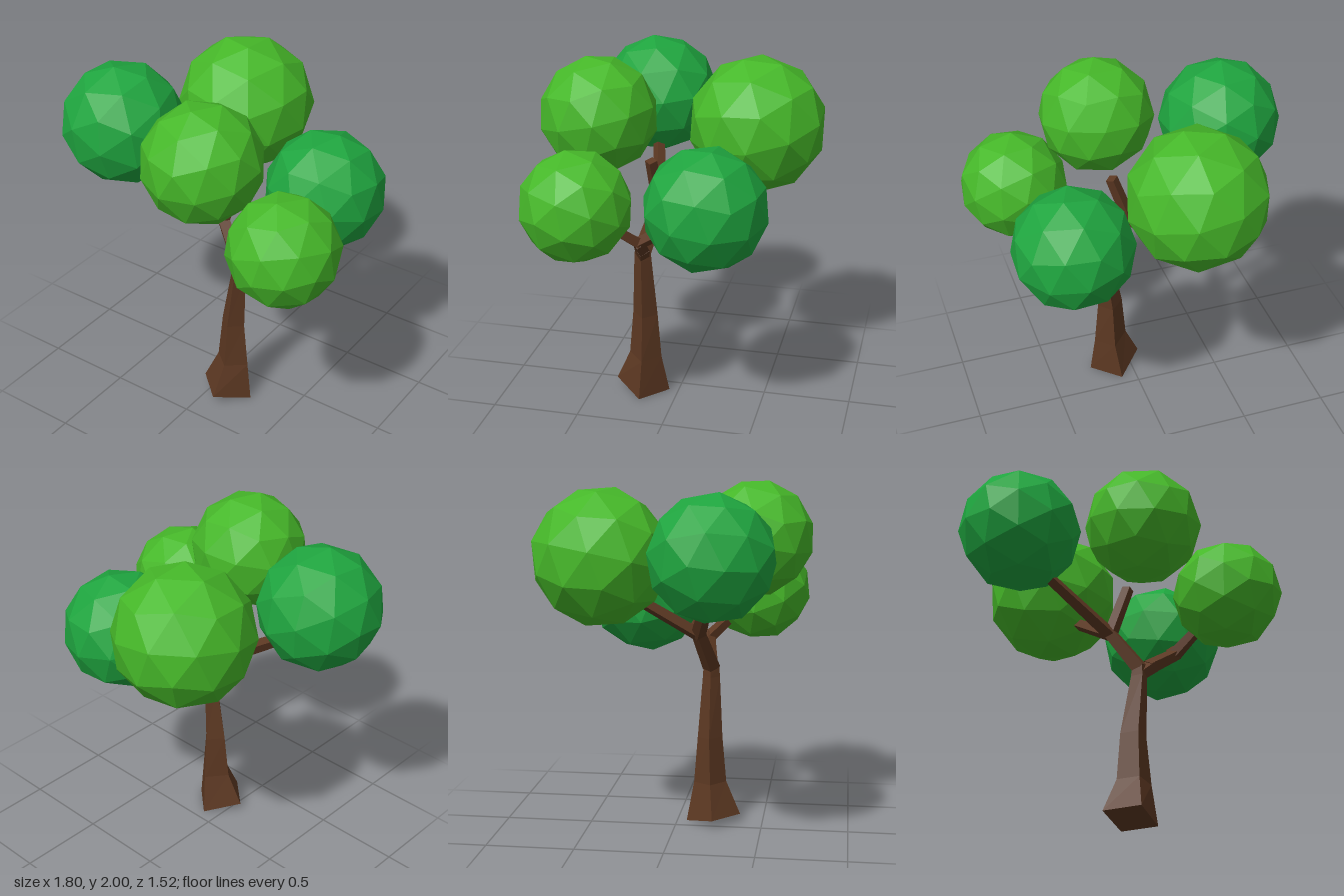
import * as THREE from 'three';

const mat = (color) => new THREE.MeshStandardMaterial({ color, flatShading: true });

export function createModel() {
  const tree = new THREE.Group();
  tree.name = 'tree';
  const bark = mat(0x5c3822), lightLeaf = mat(0x46b829), darkLeaf = mat(0x1fa53f);

  const add = (name, geometry, material) => {
    const mesh = new THREE.Mesh(geometry, material);
    mesh.name = name;
    tree.add(mesh);
    return mesh;
  };

  // Trunk: four-cornered rings (left, front, right, back), skewed at the foot
  const rings = [
    [[-0.065, 0.05, 0.22], [0.10, 0.05, 0.37], [0.25, 0, 0.20], [0.09, 0, 0.055]],
    [[0.02, 0.24, 0.20], [0.12, 0.24, 0.285], [0.22, 0.23, 0.19], [0.12, 0.23, 0.095]],
    [[0.045, 0.51, 0.19], [0.125, 0.51, 0.26], [0.195, 0.50, 0.19], [0.125, 0.50, 0.115]],
    [[0.11, 0.86, 0.19], [0.16, 0.86, 0.24], [0.205, 0.86, 0.19], [0.16, 0.86, 0.14]],
    [[0.12, 0.95, 0.19], [0.16, 0.93, 0.235], [0.205, 0.92, 0.19], [0.16, 0.94, 0.145]],
  ];
  const index = [];
  for (let r = 0; r < rings.length - 1; r++) {
    for (let i = 0; i < 4; i++) {
      const a = r * 4 + i, b = r * 4 + (i + 1) % 4;
      index.push(a, b, b + 4, a, b + 4, a + 4);
    }
  }
  const t = (rings.length - 1) * 4;
  index.push(0, 2, 1, 0, 3, 2, t, t + 1, t + 2, t, t + 2, t + 3);
  const trunk = new THREE.BufferGeometry();
  trunk.setAttribute('position', new THREE.Float32BufferAttribute(rings.flat(2), 3));
  trunk.setIndex(index);
  trunk.computeVertexNormals();
  add('trunk', trunk, bark);

  // Branches: tapered square limbs between two points
  const up = new THREE.Vector3(0, 1, 0);
  const branch = (name, from, to, r0, r1) => {
    const a = new THREE.Vector3(...from), b = new THREE.Vector3(...to);
    const dir = b.clone().sub(a);
    const mesh = add(name, new THREE.CylinderGeometry(r1, r0, dir.length(), 4), bark);
    mesh.position.copy(a).add(b).multiplyScalar(0.5);
    mesh.quaternion.setFromUnitVectors(up, dir.normalize());
  };
  const leftFork = [0.39, 1.05, 0.15], rightFork = [0.01, 1.13, 0.13];
  branch('rightLimb', [0.165, 0.91, 0.19], [0.0, 1.15, 0.127], 0.052, 0.042);
  branch('leftLimbBase', [0.165, 0.88, 0.19], [0.25, 0.955, 0.17], 0.04, 0.045);
  branch('leftLimb', [0.22, 0.935, 0.175], [0.405, 1.06, 0.148], 0.045, 0.038);
  branch('rightBranch', rightFork, [-0.40, 1.40, 0.23], 0.043, 0.034);
  branch('topBranch', rightFork, [0.11, 1.43, 0.15], 0.04, 0.035);
  branch('backBranch', rightFork, [-0.10, 1.33, -0.18], 0.04, 0.034);
  branch('leftFrontBranch', leftFork, [0.49, 1.17, 0.28], 0.04, 0.032);
  branch('leftBackBranch', leftFork, [0.42, 1.16, -0.02], 0.038, 0.032);

  // Foliage: faceted balls, each turned differently
  const balls = [
    ['rightFoliage', darkLeaf, 0.345, [-0.565, 1.63, 0.265], [0.1, 0.3, 0.05]],
    ['backFoliage', lightLeaf, 0.39, [-0.195, 1.59, -0.39], [0.4, 0.9, 0.3]],
    ['topFoliage', lightLeaf, 0.33, [0.105, 1.675, 0.445], [0.2, 0.5, 0.6]],
    ['leftFrontFoliage', lightLeaf, 0.307, [0.605, 1.32, 0.435], [0.7, 0.2, 0.3]],
    ['leftBackFoliage', darkLeaf, 0.342, [0.445, 1.30, -0.23], [0.3, 1.2, 0.1]],
  ];
  for (const [name, material, radius, position, turn] of balls) {
    const ball = add(name, new THREE.IcosahedronGeometry(radius, 1), material);
    ball.position.set(...position);
    ball.rotation.set(...turn);
  }
  return tree;
}
